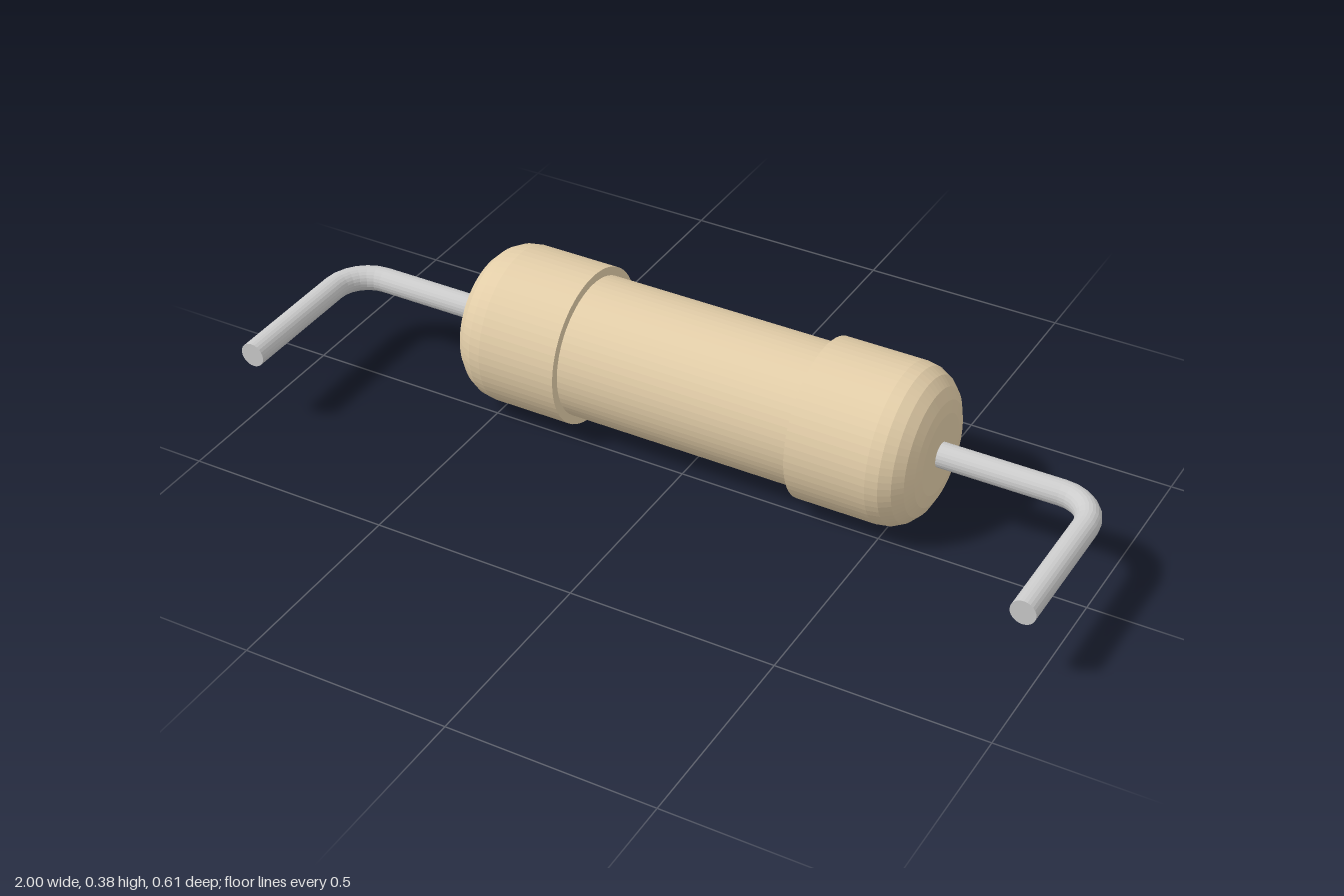
import * as THREE from 'three';

const BODY_COLOR = 0xe2cda8;

// Lathe profile: rounded end caps with a slightly narrower middle
function bodyGeometry() {
  const halfLen = 0.59, step = 0.297, capR = 0.191, midR = 0.17, fillet = 0.095, n = 5;
  const half = [new THREE.Vector2(0, -halfLen)];
  for (let i = 0; i <= n; i++) {
    const a = (i / n) * Math.PI / 2;
    half.push(new THREE.Vector2(
      capR - fillet + fillet * Math.sin(a),
      -halfLen + fillet - fillet * Math.cos(a)));
  }
  half.push(new THREE.Vector2(capR, -step), new THREE.Vector2(midR, -step));
  const mirrored = half.map(p => new THREE.Vector2(p.x, -p.y)).reverse();
  return new THREE.LatheGeometry([...half, ...mirrored], 64).rotateZ(-Math.PI / 2);
}

// Closed cylinder whose rows are laid along a straight, a quarter bend and a straight
function leadGeometry() {
  const r = 0.03, bend = 0.09, legX = 0.97, startX = 0.57, endZ = 0.42, n = 6;
  const rows = n + 2;
  const geo = new THREE.CylinderGeometry(r, r, 1, 24, rows);
  const pos = geo.attributes.position;
  for (let i = 0; i < pos.count; i++) {
    const u = pos.getX(i), w = pos.getZ(i);
    const row = Math.round((pos.getY(i) + 0.5) * rows);
    const a = THREE.MathUtils.clamp((row - 1) / n, 0, 1) * Math.PI / 2;
    let cx = legX - bend + bend * Math.sin(a);
    let cz = bend - bend * Math.cos(a);
    if (row === 0) cx = startX;
    if (row === rows) cz = endZ;
    pos.setXYZ(i, cx + w * Math.sin(a), u, cz - w * Math.cos(a));
  }
  geo.computeVertexNormals();
  return geo;
}

export function createModel() {
  const model = new THREE.Group();
  model.name = 'resistor';
  const tan = new THREE.MeshStandardMaterial({ color: BODY_COLOR, flatShading: true });
  const grey = new THREE.MeshStandardMaterial({ color: 0xcccccc, flatShading: true });

  const body = new THREE.Mesh(bodyGeometry(), tan);
  body.name = 'body';
  model.add(body);

  // Bent wire leads; a half turn about z mirrors the second one
  const leadGeo = leadGeometry();
  ['leftLead', 'rightLead'].forEach((name, i) => {
    const lead = new THREE.Mesh(leadGeo, grey);
    lead.name = name;
    lead.rotation.z = i * Math.PI;
    model.add(lead);
  });

  model.position.set(0, 0.191, -0.114);
  const root = new THREE.Group();
  root.add(model);
  return root;
}
